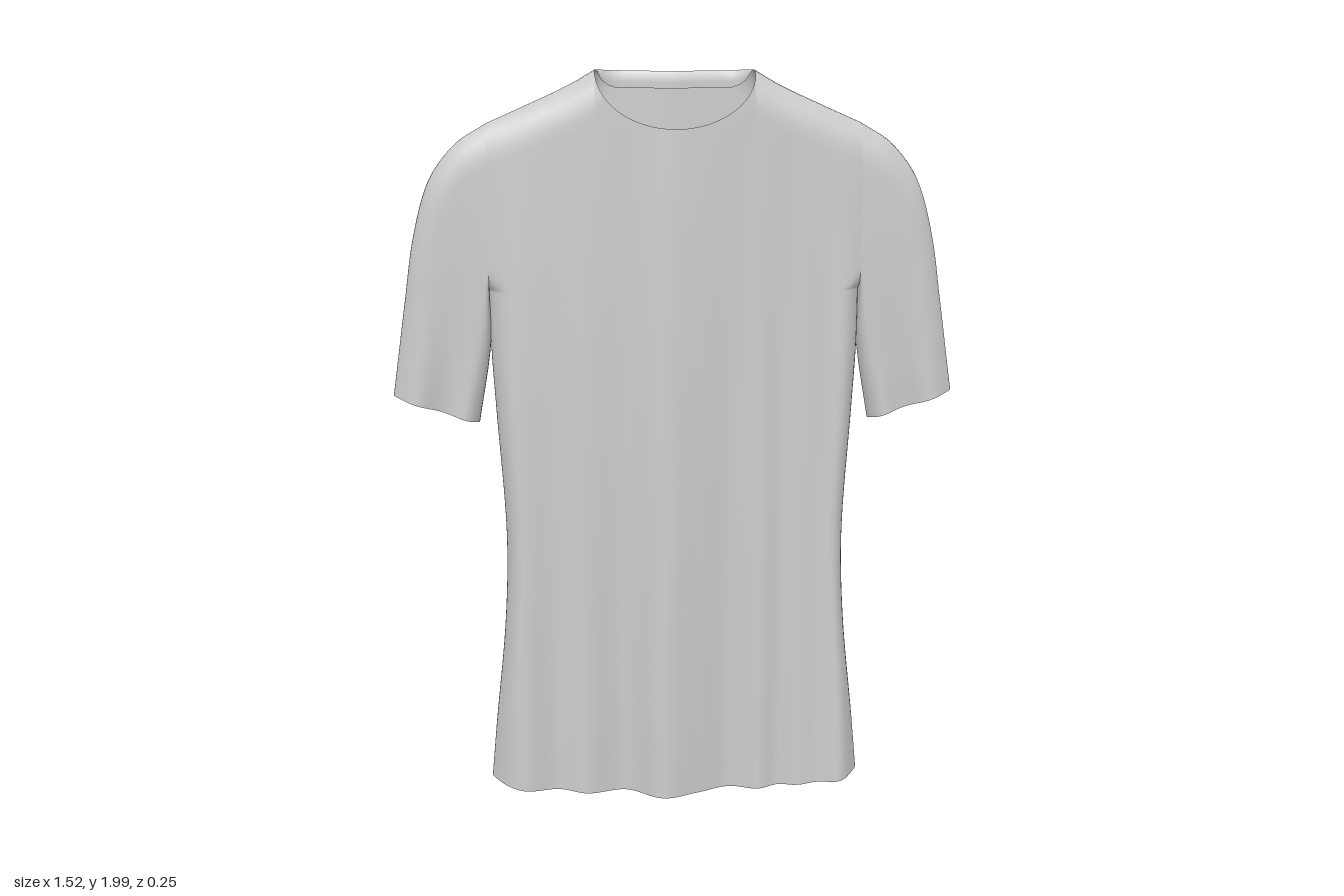
import * as THREE from 'three';
import { mergeGeometries, mergeVertices } from 'three/addons/utils/BufferGeometryUtils.js';

const { lerp, clamp } = THREE.MathUtils;
const ARMPIT = 1.42, SEAM = 0.495, NECK = 0.21;

// smooth curve through [position, value] pairs
function smooth(pts) {
  const slope = (i) => {
    const a = pts[Math.max(i - 1, 0)], b = pts[Math.min(i + 1, pts.length - 1)];
    return (b[1] - a[1]) / (b[0] - a[0]);
  };
  return (x) => {
    x = clamp(x, pts[0][0], pts[pts.length - 1][0]);
    let i = 0;
    while (i < pts.length - 2 && x > pts[i + 1][0]) i++;
    const [x0, y0] = pts[i], [x1, y1] = pts[i + 1], h = x1 - x0, t = (x - x0) / h;
    const t2 = t * t, t3 = t2 * t;
    return (2 * t3 - 3 * t2 + 1) * y0 + (t3 - 2 * t2 + t) * h * slope(i)
      + (3 * t2 - 2 * t3) * y1 + (t3 - t2) * h * slope(i + 1);
  };
}

// outline
const halfWidth = smooth([[0, 0.522], [0.2, 0.503], [0.5, 0.472], [0.75, 0.464], [1.1, 0.485], [1.3, SEAM], [2, SEAM]]);
const shoulder = smooth([[NECK, 1.995], [0.28, 1.955], [0.4, 1.9], [SEAM, 1.858]]);
const outerX = smooth([[0, SEAM], [0.15, 0.58], [0.3, 0.65], [0.5, 0.695], [0.72, 0.722], [1, 0.76]]);
const outerY = smooth([[0, 1.858], [0.15, 1.803], [0.3, 1.71], [0.5, 1.56], [0.72, 1.39], [1, 1.135]]);
const innerX = smooth([[0, SEAM], [0.4, 0.495], [1, 0.53]]);

// depth of the cloth: folds at the hem, flatter at the chest
const hemFront = smooth([[-0.52, 0.045], [-0.43, 0.105], [-0.33, 0.07], [-0.25, 0.092], [-0.14, 0.06],
  [-0.04, 0.125], [0.06, 0.09], [0.15, 0.055], [0.23, 0.085], [0.29, 0.065], [0.34, 0.085], [0.4, 0.08], [0.46, 0.1], [0.52, 0.045]]);
const hemBack = smooth([[-0.52, -0.025], [-0.4, -0.075], [-0.3, -0.11], [-0.2, -0.13], [-0.1, -0.075],
  [0, -0.05], [0.1, -0.075], [0.2, -0.13], [0.3, -0.105], [0.4, -0.07], [0.52, -0.025]]);
const chestFront = smooth([[0, 0.075], [0.2, 0.062], [0.5, 0.03]]);
const chestBack = smooth([[0, -0.052], [0.2, -0.062], [0.5, -0.045]]);
const middle = (y) => lerp(0.012, -0.018, clamp(y / 1.9, 0, 1));

function cloth(x, y, front) {
  return front
    ? lerp(hemFront(x), chestFront(Math.abs(x)), clamp(y / 1.85, 0, 1))
    : lerp(hemBack(x), chestBack(Math.abs(x)), THREE.MathUtils.smoothstep(y, -0.3, 1.4));
}

// 0 on an edge, 1 beyond radius r, rounded between
const round = (d, r) => Math.sqrt(1 - (1 - clamp(d / r, 0, 1)) ** 2);

function sheet(us, vs, point, flip) {
  const pos = [], index = [], n = vs.length;
  us.forEach((u) => vs.forEach((v) => pos.push(...point(u, v))));
  for (let i = 0; i < us.length - 1; i++) {
    for (let j = 0; j < n - 1; j++) {
      const a = i * n + j, b = a + n, c = b + 1, d = a + 1;
      index.push(...(flip ? [a, c, b, a, d, c] : [a, b, c, a, c, d]));
    }
  }
  const g = new THREE.BufferGeometry();
  g.setAttribute('position', new THREE.Float32BufferAttribute(pos, 3));
  g.setIndex(index);
  return g;
}

const steps = (n, f = (t) => t) => Array.from({ length: n + 1 }, (_, i) => f(i / n));
const ease = (t) => (1 - Math.cos(Math.PI * t)) / 2;
const UPPER = steps(22, ease);

function bodyPoint(u, v, front) {
  const xTop = Math.abs(u) * SEAM;
  let top = shoulder(xTop);
  if (xTop < NECK) {
    const k = xTop / NECK;
    top = front ? 1.995 - 0.15 * Math.sqrt(1 - k * k) : 1.995 - 0.004 * (1 - k * k);
  }
  const hem = 0.003 + 0.037 * Math.abs(u) ** 2.5;
  // v runs 0..1 from hem to armpit, 1..2 from armpit to shoulder
  const y = v <= 1 ? lerp(hem, ARMPIT, v) : lerp(ARMPIT, top, v - 1);
  const w = halfWidth(y), x = u * w, ax = Math.abs(x);
  const line = ax < NECK ? 1.995 + (NECK - ax) * 1.2 : shoulder(ax);
  const dSide = w - ax + Math.max(0, y - ARMPIT);
  const e = Math.min(round(dSide, 0.05), round(line - y, 0.1));
  const m = middle(y);
  return [x, y, m + (cloth(x, y, front) - m) * e];
}

function sleevePoint(s, t, side, front) {
  const ox = outerX(s), oy = outerY(s), ix = innerX(s), iy = lerp(ARMPIT, 1.06, s);
  const x = lerp(ix, ox, t), y = lerp(iy, oy, t), len = Math.hypot(ox - ix, oy - iy);
  const seamY = lerp(ARMPIT, 1.858, t);
  const e = Math.min(round(t === 1 ? 0 : (1 - t) * len, lerp(0.1, 0.05, s)), round(t * len, 0.05));
  const wave = 0.012 * Math.sin(t * 11 + (front ? 0 : 1.5)) * s * s;
  const cuff = (front ? 0.026 : -0.045) + wave;
  const m = lerp(middle(seamY), -0.012, s);
  return [side * x, y, m + (lerp(cloth(side * SEAM, seamY, front), cuff, s) - m) * e];
}

export function createModel() {
  const group = new THREE.Group();
  const material = new THREE.MeshStandardMaterial({ color: 0xcccccc, side: THREE.DoubleSide });
  const add = (name, parts) => {
    const g = mergeVertices(mergeGeometries(parts), 1e-4);
    g.computeVertexNormals();
    const mesh = new THREE.Mesh(g, material);
    mesh.name = name;
    group.add(mesh);
  };

  // torso: front and back panels joined at the sides and shoulders
  const k = NECK / SEAM;
  const half = [...steps(20, (t) => k * Math.sin(t * Math.PI / 2)), ...steps(26, (t) => lerp(k, 1, ease(t))).slice(1)];
  const us = [...half.slice(1).reverse().map((u) => -u), ...half];
  const vs = [...steps(36), ...UPPER.slice(1).map((t) => 1 + t)];
  add('torso', [true, false].map((front) => sheet(us, vs, (u, v) => bodyPoint(u, v, front), !front)));

  // sleeves: flat tubes open at the cuff
  for (const side of [1, -1]) {
    add(side > 0 ? 'leftSleeve' : 'rightSleeve', [true, false].map((front) =>
      sheet(steps(30), UPPER, (s, t) => sleevePoint(s, t, side, front), front !== (side > 0))));
  }

  // neckband: facing inside the back of the neck
  add('neckband', [sheet(steps(24, (t) => lerp(-k, k, t)), steps(3), (u, t) => {
    const [x, y, z] = bodyPoint(u, 2, false);
    const inset = Math.sqrt(Math.max(0, 1 - (u / k) ** 2));
    return [x * (1 - 0.02 * t), y - 0.045 * t * Math.min(1, inset * 1.6), z + 0.007 * Math.min(1, t * 3)];
  }, false)]);

  return group;
}
